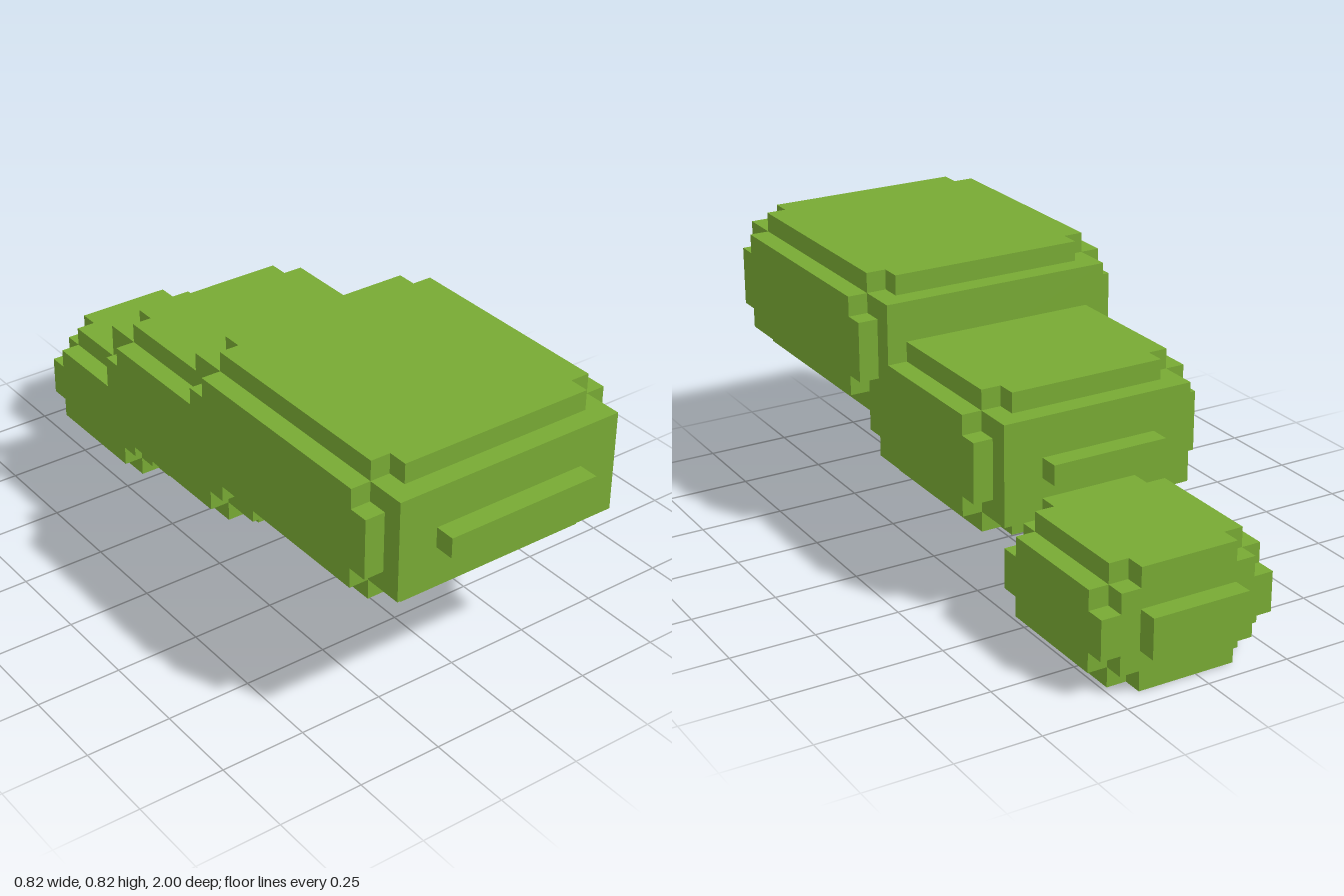
import * as THREE from 'three';

const U = 2 / 34; // size of one block

// Rectangle centred on the origin whose corners are cut in staircase steps
function steppedShape(w, h, steps) {
  const corner = [];
  for (let i = 0; i <= steps; i++) {
    corner.push([w / 2 - i, h / 2 - steps + i]);
    if (i < steps) corner.push([w / 2 - i - 1, h / 2 - steps + i]);
  }
  const flip = (sx, sy, list) => list.map(([x, y]) => new THREE.Vector2(x * sx * U, y * sy * U));
  const back = [...corner].reverse();
  return new THREE.Shape([
    ...flip(1, 1, corner), ...flip(-1, 1, back),
    ...flip(-1, -1, corner), ...flip(1, -1, back),
  ]);
}

export function createModel() {
  const model = new THREE.Group();
  model.name = 'segmentedBody';
  const green = new THREE.MeshStandardMaterial({ color: 0x78aa34 });
  green.name = 'leafGreen';

  function add(parent, name, geometry, [x, y, z]) {
    const mesh = new THREE.Mesh(geometry, green);
    mesh.name = name;
    mesh.position.set(x * U, y * U, z * U);
    parent.add(mesh);
  }

  const box = (w, h, d) => new THREE.BoxGeometry(w * U, h * U, d * U);

  // Stepped outline extruded along the given axis and centred
  function prism(w, h, depth, steps, axis) {
    const g = new THREE.ExtrudeGeometry(steppedShape(w, h, steps), { depth: depth * U, bevelEnabled: false });
    g.translate(0, 0, -depth * U / 2);
    if (axis === 'y') g.rotateX(Math.PI / 2);
    if (axis === 'x') g.rotateY(Math.PI / 2);
    return g;
  }

  // Block with raised, notched panels on its top, bottom and sides
  function segment(name, [w, h, d], centre) {
    const group = new THREE.Group();
    group.name = name;
    add(group, name + 'Core', box(w, h, d), centre);
    add(group, name + 'TopAndBottomPanels', prism(w, d - 2, h + 2, 1, 'y'), centre);
    add(group, name + 'SidePanels', prism(d - 2, h, w + 2, 1, 'x'), centre);
    model.add(group);
    return group;
  }

  // Large front segment with a slim bar on its face
  const head = segment('frontSegment', [12, 5, 15], [0, 10.5, 8.5]);
  add(head, 'frontBar', box(8, 1, 1), [0, 10.5, 16.5]);

  // Middle segment with a slim bar at its back
  const middle = segment('middleSegment', [10, 5, 12], [0, 7.5, -2]);
  add(middle, 'backBar', box(6, 1, 1), [0, 7.5, -8.5]);

  // Small rounded tail, set half a block off centre
  const tail = new THREE.Group();
  tail.name = 'tailSegment';
  const tailCentre = [0.5, 3, -12];
  add(tail, 'tailCore', prism(9, 6, 8, 2, 'z'), tailCentre);
  add(tail, 'tailCollar', prism(9, 6, 6, 1, 'z'), tailCentre);
  add(tail, 'tailEndPlates', box(5, 2, 10), tailCentre);
  model.add(tail);

  return model;
}
